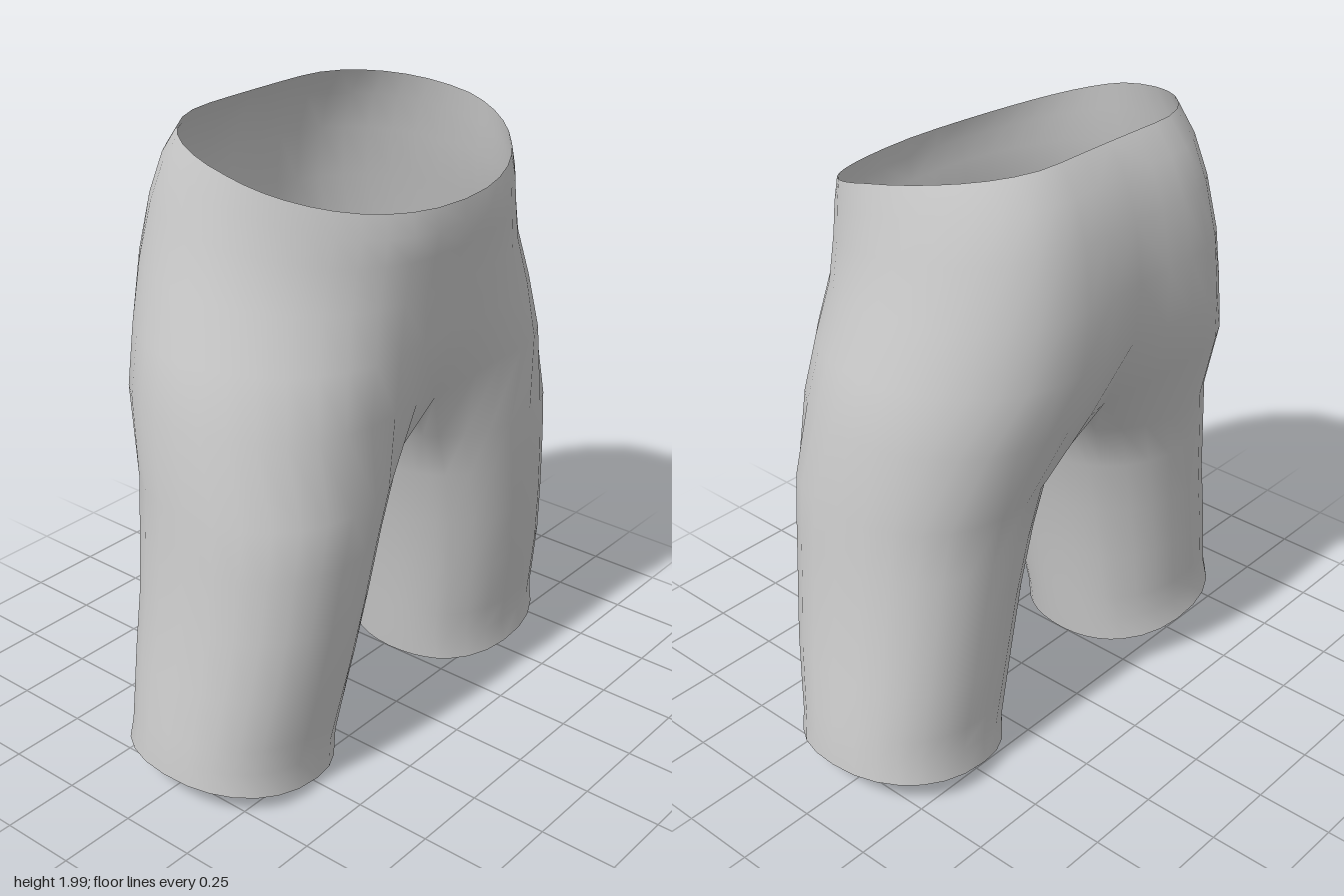
import * as THREE from 'three';
import { mergeVertices } from 'three/addons/utils/BufferGeometryUtils.js';

const N = 20; // steps from front, round the outside, to back
const M = 10; // steps along the inner thigh, back to front
const SPREAD = THREE.MathUtils.degToRad(50); // how far the outer columns wrap round a leg

// Hip rows: y, waist slope, half width, front z, back z, flat front, flat back, front dip, back dip, centre drop
const hips = [
  [1.93, 1, 0.562, 0.465, -0.325, 0, 0.22, 0, 0, 0],
  [1.85, 0.9, 0.578, 0.472, -0.385, 0.05, 0.23, 0, 0, 0],
  [1.74, 0.6, 0.6, 0.46, -0.43, 0.1, 0.24, 0, 0, 0],
  [1.58, 0.25, 0.637, 0.442, -0.46, 0.17, 0.25, 0, 0.005, 0],
  [1.4, 0, 0.693, 0.442, -0.457, 0.26, 0.26, 0.01, 0.02, 0],
  [1.22, 0, 0.735, 0.437, -0.425, 0.36, 0.34, 0.06, 0.09, 0.06],
];

// Leg rows: y, inner x, outer x, front z, back z, hem slope
const legs = [
  [0.96, 0.045, 0.76, 0.43, -0.328, 0],
  [0.8, 0.1, 0.775, 0.42, -0.315, 0],
  [0.6, 0.15, 0.793, 0.405, -0.302, 0],
  [0.4, 0.19, 0.822, 0.38, -0.295, 0.2],
  [0.22, 0.22, 0.845, 0.348, -0.285, 0.5],
  [0.13, 0.235, 0.856, 0.332, -0.28, 0.8],
  [0.047, 0.25, 0.862, 0.338, -0.295, 1],
];

const power = (v, p) => Math.sign(v) * Math.abs(v) ** p;

// Point on a half ring: flat near the centre, elliptical towards the side
function hipPoint([y, slope, width, front, back, flatF, flatB, dipF, dipB, drop], k) {
  const t = (Math.PI * k) / N;
  const c = Math.cos(t);
  const x = k % N === 0 ? 0 : width * Math.sin(t) ** 0.85;
  const flat = c > 0 ? flatF : flatB;
  const u = Math.max(0, (x - flat) / (width - flat));
  const depth = Math.sign(c) * Math.sqrt(Math.max(0, 1 - u * u));
  const middle = Math.max(0, 1 - x / 0.3) ** 2;
  return [
    x,
    y - slope * (0.0925 * c + 0.0325 * c * c) - drop * middle,
    (front + back) / 2 + ((front - back) / 2) * depth + middle * (c > 0 ? -dipF : dipB),
  ];
}

function legPoint([y, inner, outer, front, back, slope], k) {
  const a = k <= N
    ? -SPREAD + ((Math.PI + 2 * SPREAD) * k) / N
    : Math.PI + SPREAD + ((Math.PI - 2 * SPREAD) * (k - N)) / M;
  const s = Math.sin(a), c = Math.cos(a);
  return [
    (inner + outer) / 2 + ((outer - inner) / 2) * power(s, 0.9),
    Math.max(0, y + slope * (0.047 * s - 0.015 * c)),
    (front + back) / 2 + ((front - back) / 2) * power(c, 0.9),
  ];
}

// Saddle between the legs, from the back seam to the front seam
function crotchPoint(j) {
  const last = hips[hips.length - 1];
  const [, y, zf] = hipPoint(last, 0);
  const zb = hipPoint(last, N)[2];
  const s = j / M;
  return [0, y - 0.13 * Math.sin(Math.PI * s) ** 0.6, zb + (zf - zb) * s];
}

function shortsGeometry() {
  const positions = [], index = [];
  for (const side of [1, -1]) {
    const add = ([x, y, z]) => positions.push(side * x, y, z) / 3 - 1;
    const tri = (a, b, c) => (side > 0 ? index.push(a, b, c) : index.push(a, c, b));
    // joins two rows, the first lying above the second
    const join = (upper, lower) => {
      for (let k = 0; k + 1 < upper.length; k++) {
        tri(upper[k], lower[k], upper[k + 1]);
        tri(upper[k + 1], lower[k], lower[k + 1]);
      }
    };
    const outside = [...Array(N + 1).keys()];
    const around = [...Array(N + M).keys()];

    // Half of the hips and waist
    const hipRows = hips.map((row) => outside.map((k) => add(hipPoint(row, k))));
    for (let r = 1; r < hipRows.length; r++) join(hipRows[r - 1], hipRows[r]);

    // Leg tube, whose top edge is the last hip row closed by the saddle
    let upper = [...hipRows[hipRows.length - 1]];
    for (let j = 1; j < M; j++) upper.push(add(crotchPoint(j)));
    upper.push(upper[0]);
    for (const row of legs) {
      const lower = around.map((k) => add(legPoint(row, k)));
      lower.push(lower[0]);
      join(upper, lower);
      upper = lower;
    }
  }
  let geometry = new THREE.BufferGeometry();
  geometry.setAttribute('position', new THREE.Float32BufferAttribute(positions, 3));
  geometry.setIndex(index);
  geometry = mergeVertices(geometry, 1e-4); // weld the centre seam
  geometry.computeVertexNormals();
  return geometry;
}

export function createModel() {
  const cloth = new THREE.MeshStandardMaterial({ color: 0xcccccc, side: THREE.DoubleSide });
  cloth.name = 'greyCloth';
  const shorts = new THREE.Mesh(shortsGeometry(), cloth);
  shorts.name = 'shorts';
  const group = new THREE.Group();
  group.name = 'shortTrousers';
  group.add(shorts);
  return group;
}
